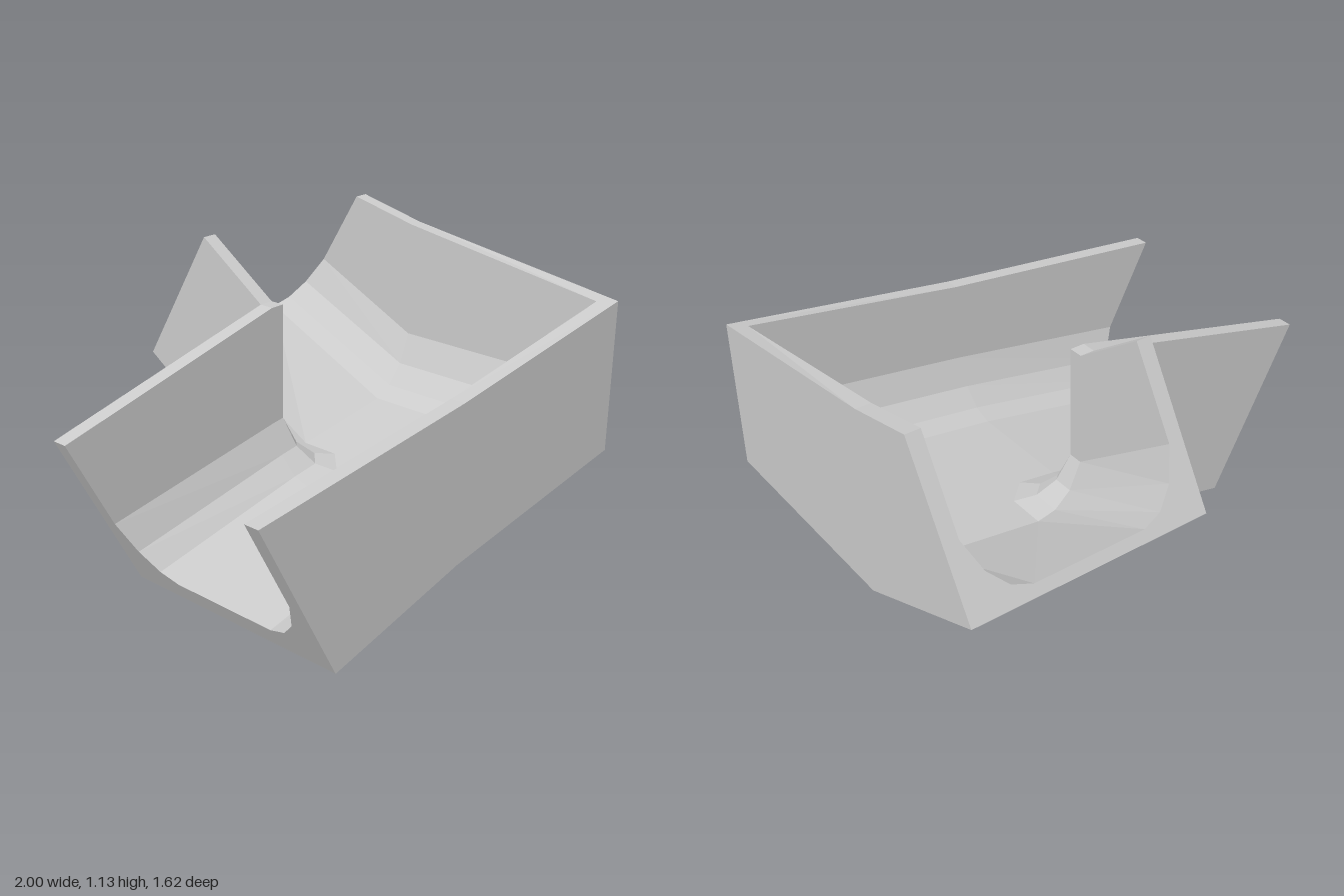
import * as THREE from 'three';

// Fillet between wall and floor: [distance from wall, share of fillet height]
const FILLET = [[0, 1], [0.05, 0.46], [0.12, 0.13], [0.2, 0]];
const T = 0.06; // wall thickness
const IN = { x: 0.02, z: -0.17 }, OUT = { x: 1, z: 0.81 }; // inner and outer corner of the bend

const underside = x => 0.15 + (x - IN.x) * 0.143;

// One closed cross-section. inner(d) / outer(d) give the plan position at distance d
// from each wall's channel face (d = -T is its outside face).
function section({ inner, outer, innerTop, outerTop, bottom, floor, rise = 0.22, slant }) {
  const point = ([x, z], y) => {
    const p = new THREE.Vector3(x, y, z);
    if (slant) slant(p);
    return p;
  };
  const at = (side, d, height) => {
    const [x, z] = side(d);
    return point([x, z], height(x));
  };
  const curve = side => FILLET.map(([d, h]) => at(side, d, x => floor(x) + h * rise));
  return [
    at(inner, -T, bottom), point(inner(-T), innerTop), point(inner(0), innerTop),
    ...curve(inner), ...curve(outer).reverse(),
    point(outer(0), outerTop), point(outer(-T), outerTop), at(outer, -T, bottom),
  ];
}

function createSections() {
  const ix = IN.x + T, iz = IN.z + T, ox = OUT.x - T, oz = OUT.z - T;
  const corner = d => [ox - d, oz - d];
  const bend = { bottom: underside, floor: x => underside(x) + 0.07 };
  const bevel = (a, b) => d => (d < 0 ? [IN.x, IN.z] : [ix + d * a, iz + d * b]);
  return [
    // low end, cut on a slant
    section({
      inner: d => [0, iz + d], outer: d => [0, oz - d], innerTop: 0.67, outerTop: 0.67,
      bottom: () => 0, floor: () => 0.08,
      slant: p => { p.x = -1 + (0.67 - p.y) * 0.54; },
    }),
    // start of the bend
    section({ ...bend, inner: d => [IN.x, iz + d], outer: d => [IN.x, oz - d], innerTop: 0.92, outerTop: 0.78 }),
    // bevelled mitre
    section({ ...bend, inner: bevel(0.5, 1), outer: corner, innerTop: 0.92, outerTop: 0.92 }),
    section({ ...bend, inner: bevel(1, 0.5), outer: corner, innerTop: 0.92, outerTop: 0.92 }),
    // end of the bend
    section({ ...bend, inner: d => [ix + d, IN.z], outer: d => [ox - d, IN.z], innerTop: 0.92, outerTop: 1.06 }),
    // high end, cut on a slant
    section({
      inner: d => [ix + d, 0], outer: d => [ox - d, 0], innerTop: 1.13, outerTop: 1.13,
      bottom: () => 0.57, floor: () => 0.61, rise: 0.2,
      slant: p => { p.z = -0.81 + (p.y - 0.57) * 0.59; },
    }),
  ];
}

function triangleMesh(name, triangles, material) {
  const solid = triangles.filter(t => new THREE.Triangle(...t).getArea() > 1e-7);
  const geometry = new THREE.BufferGeometry().setFromPoints(solid.flat());
  geometry.computeVertexNormals();
  const mesh = new THREE.Mesh(geometry, material);
  mesh.name = name;
  return mesh;
}

// Surface between neighbouring sections, for a run of section edges
function loft(sections, from, to) {
  const triangles = [];
  for (let s = 0; s < sections.length - 1; s++) {
    const a = sections[s], b = sections[s + 1];
    for (let k = from; k < to; k++) {
      const n = (k + 1) % a.length;
      triangles.push([a[k], a[n], b[n]], [a[k], b[n], b[k]]);
    }
  }
  return triangles;
}

// Flat cap of an end section, facing the given direction
function cap(ring, axis, facing) {
  const contour = ring.map(p => new THREE.Vector2(p[axis], p.y));
  return THREE.ShapeUtils.triangulateShape(contour, []).map(face => {
    const t = face.map(i => ring[i]);
    const normal = new THREE.Triangle(...t).getNormal(new THREE.Vector3());
    return normal.dot(facing) < 0 ? t.reverse() : t;
  });
}

export function createModel() {
  const group = new THREE.Group();
  group.name = 'cornerTrough';
  const material = new THREE.MeshStandardMaterial({ color: 0xcccccc, flatShading: true });
  const sections = createSections();
  const add = (name, triangles) => group.add(triangleMesh(name, triangles, material));

  // walls, channel and underside
  add('innerWall', loft(sections, 0, 3));
  add('channel', loft(sections, 3, 10));
  add('outerWall', loft(sections, 10, 13));
  add('underside', loft(sections, 13, 14));

  // slanted ends
  add('lowEnd', cap(sections[0], 'z', new THREE.Vector3(-1, 0, 0)));
  add('highEnd', cap(sections[5], 'x', new THREE.Vector3(0, 0, -1)));
  return group;
}
